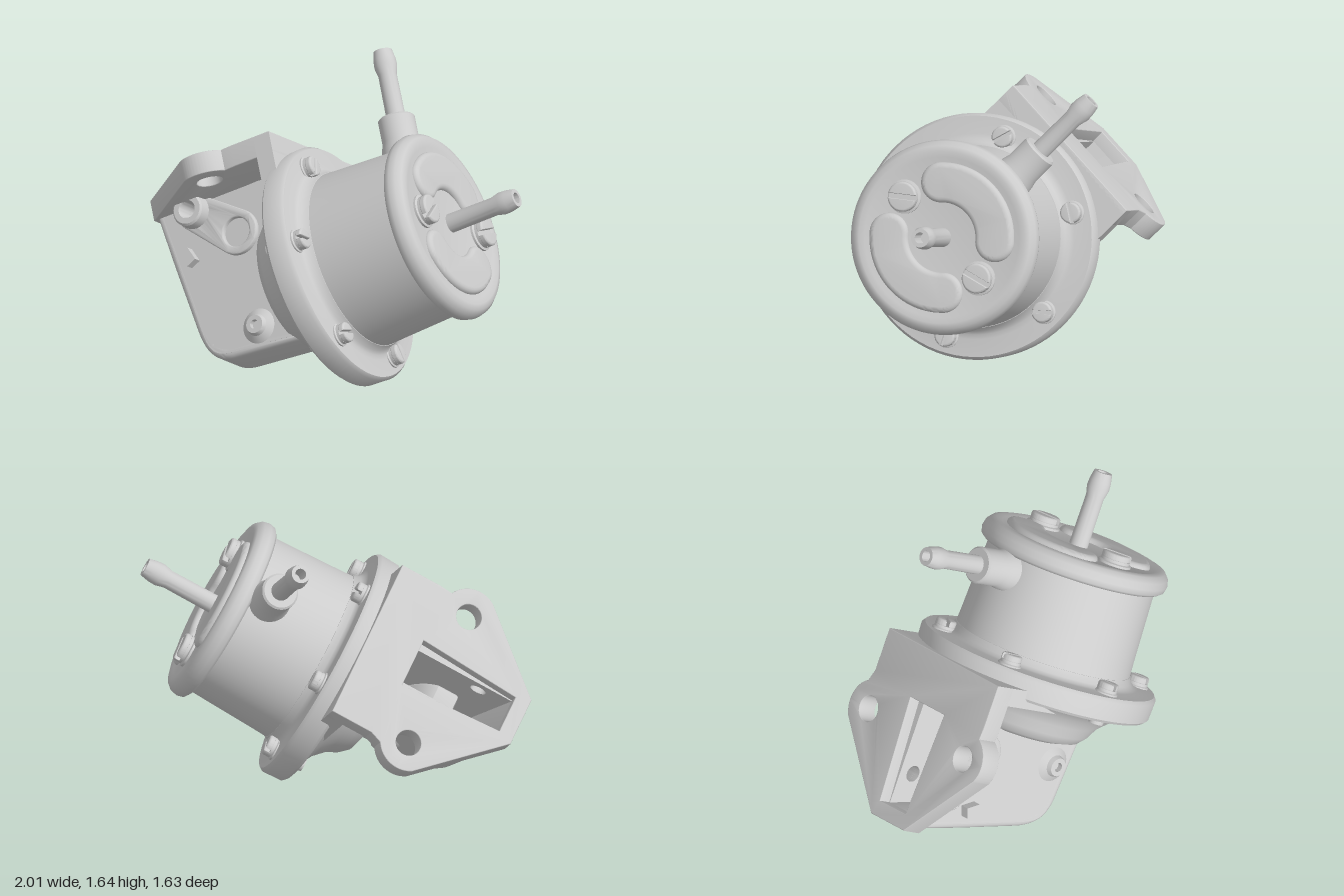
import * as THREE from 'three';
import { toCreasedNormals } from 'three/addons/utils/BufferGeometryUtils.js';

const mat = new THREE.MeshStandardMaterial({ color: 0xcccccc, side: THREE.DoubleSide });
const rad = THREE.MathUtils.degToRad;

export function createModel() {
  const root = new THREE.Group();
  root.name = 'fuelPump';

  // Working frame: y = pump axis, z = towards the mounting face, x = across
  const pump = new THREE.Group();
  pump.name = 'pumpAssembly';
  const axis = new THREE.Vector3(0.85, 0.475, 0.23).normalize();
  const mount = new THREE.Vector3(-0.205, 0.697, -0.687);
  mount.addScaledVector(axis, -mount.dot(axis)).normalize();
  const side = new THREE.Vector3().crossVectors(axis, mount);
  pump.quaternion.setFromRotationMatrix(new THREE.Matrix4().makeBasis(side, axis, mount));
  pump.position.set(0, 0.62, 0.155);
  root.add(pump);

  const add = (name, geo, parent = pump, crease = 0.6) => {
    const mesh = new THREE.Mesh(toCreasedNormals(geo, crease), mat);
    mesh.name = name;
    parent.add(mesh);
    return mesh;
  };
  const lathe = (pts, n = 64) => new THREE.LatheGeometry(pts.map(p => new THREE.Vector2(...p)), n);
  const circle = (x, y, r) => new THREE.Path().absarc(x, y, r, 0, Math.PI * 2, true);
  // Extrude centred on its depth, with the bevel kept inside the stated depth
  const extrude = (shape, depth, bevel = 0) => new THREE.ExtrudeGeometry(shape, {
    depth: depth - 2 * bevel, curveSegments: 20, bevelEnabled: bevel > 0,
    bevelSize: bevel, bevelThickness: bevel, bevelOffset: -bevel, bevelSegments: 4,
  }).translate(0, 0, bevel - depth / 2);
  // Profile drawn in (z, y), extruded across x
  const across = (shape, depth, bevel) => extrude(shape, depth, bevel).rotateY(-Math.PI / 2);

  // Upper flange, drum and cap
  add('diaphragmFlange', lathe([[0, -0.06], [0.64, -0.06], [0.655, -0.045], [0.66, 0.06], [0.645, 0.08],
    [0.55, 0.085], [0.525, 0.09], [0.505, 0.105], [0.49, 0.14], [0.4, 0.15]], 80), pump, 0.7);
  add('drum', lathe([[0.488, 0.13], [0.483, 0.22], [0.465, 0.65]]));
  add('cap', lathe([[0.44, 0.62], [0.495, 0.62], [0.515, 0.635], [0.522, 0.665], [0.514, 0.7], [0.49, 0.728],
    [0.46, 0.737], [0.43, 0.728], [0, 0.728]], 80), pump, 0.8);

  // Kidney-shaped embossings on the cap
  for (const turn of [0, Math.PI]) {
    const a0 = rad(42), a1 = rad(138), R = 0.295, w = 0.108;
    const k = new THREE.Shape();
    k.absarc(0, 0, R + w, a0, a1, false);
    k.absarc(R * Math.cos(a1), R * Math.sin(a1), w, a1, a1 + Math.PI, false);
    k.absarc(0, 0, R - w, a1, a0, true);
    k.absarc(R * Math.cos(a0), R * Math.sin(a0), w, a0 - Math.PI, a0, false);
    const boss = add('capEmbossing', extrude(k, 0.08, 0.03).rotateX(-Math.PI / 2), pump, 1);
    boss.position.y = 0.716;
    boss.rotation.y = turn;
  }

  // Slotted screws: washer, base and two half heads leaving a slot
  const screw = (name, x, y, z, r, turn) => {
    const g = new THREE.Group();
    g.name = name;
    add('base', lathe([[r * 1.15, -0.02], [r * 1.15, 0.005], [r, 0.01], [r, 0.025], [0, 0.025]], 24), g);
    const t = Math.asin(0.16);
    for (const s of [0, Math.PI]) {
      const half = new THREE.Shape().absarc(0, 0, r, t + s, Math.PI - t + s, false);
      add('halfHead', extrude(half, 0.04, 0.012).rotateX(-Math.PI / 2), g).position.y = 0.038;
    }
    g.position.set(x, y, z);
    g.rotation.y = turn;
    pump.add(g);
  };
  for (const s of [1, -1]) screw('capScrew', 0.3 * s, 0.735, 0, 0.08, 0.5 + s * 0.2);
  for (let i = 0; i < 6; i++) {
    const t = i * Math.PI / 3, x = 0.555 * Math.cos(t), z = 0.555 * Math.sin(t);
    screw('flangeScrew', x, 0.085, z, 0.056, i * 1.3);
    add('flangeScrewEnd', new THREE.CylinderGeometry(0.045, 0.04, 0.04, 16)).position.set(x, -0.07, z);
  }

  // Hose nozzles with a beaded, hollow end
  const nozzle = L => [[0.052, 0], [0.05, L - 0.14], [0.062, L - 0.09], [0.06, L - 0.05],
    [0.05, L], [0.03, L], [0.03, L - 0.12], [0, L - 0.12]];
  add('inletNozzle', lathe(nozzle(0.46), 28)).position.y = 0.685;
  const outlet = new THREE.Group();
  outlet.name = 'outlet';
  add('outletBoss', lathe([[0.125, 0.4], [0.11, 0.5], [0.1, 0.54], [0.1, 0.67], [0.09, 0.68], [0, 0.68]], 36), outlet);
  add('outletNozzle', lathe(nozzle(0.43), 28), outlet).position.y = 0.635;
  outlet.position.y = 0.53;
  outlet.rotation.x = Math.PI / 2;
  pump.add(outlet);

  // Lower bowl beneath the flange
  add('lowerBowl', lathe([[0.6, -0.055], [0.54, -0.08], [0.47, -0.12], [0.41, -0.18], [0.38, -0.24],
    [0.34, -0.285], [0.26, -0.31], [0, -0.31]]), pump, 0.8);

  // Web joining the flange to the mounting plate
  add('mountWeb', new THREE.BoxGeometry(0.92, 0.1, 0.63)).position.set(0, -0.05, 0.365);

  // Mounting plate with two bolt ears and a lever window
  const earL = [0.38, -0.445], earR = [-0.412, -0.445], r = 0.157, e0 = rad(-33), e1 = rad(62);
  const plate = new THREE.Shape();
  plate.moveTo(-0.14, -0.945).lineTo(0.135, -0.945);
  plate.absarc(...earL, r, e0, e1, false);
  plate.lineTo(0.46, -0.24).lineTo(0.46, 0).lineTo(-0.46, 0).lineTo(-0.46, -0.24);
  plate.absarc(...earR, r, Math.PI - e1, Math.PI - e0, false);
  plate.closePath();
  const win = new THREE.Path();
  win.moveTo(-0.105, -0.86).lineTo(-0.14, -0.28).lineTo(0.14, -0.28).lineTo(0.105, -0.86).closePath();
  plate.holes.push(win, circle(...earL, 0.07), circle(...earR, 0.07));
  add('mountingPlate', extrude(plate, 0.12, 0.006), pump, 0.3).position.z = 0.63;

  // Lever chamber: curved outer wall, open at the mounting plate, plus two cheeks
  const outline = (shape, o) => {
    shape.moveTo(0.62, -0.93 + o).lineTo(0.29, -0.885 + o).lineTo(-0.1, -0.825 + o);
    shape.bezierCurveTo(-0.23, -0.805 + o, -0.31 + o, -0.76, -0.325 + o, -0.64);
    return shape.lineTo(-0.37 + o, -0.15 - o);
  };
  const wall = outline(new THREE.Shape(), 0);
  wall.lineTo(0.62, -0.15).lineTo(0.62, -0.25).lineTo(-0.27, -0.25).lineTo(-0.25, -0.62);
  wall.bezierCurveTo(-0.24, -0.7, -0.18, -0.735, -0.1, -0.75).lineTo(0.29, -0.81).lineTo(0.62, -0.86).closePath();
  add('chamberWall', across(wall, 0.28, 0.032), pump, 0.8);

  // Pivot lobe shared by both cheeks, pierced by the pivot bore
  const c1 = [0.525, -0.684], c2 = [0.334, -0.46];
  const cheek = outline(new THREE.Shape(), 0.03).lineTo(0.62, -0.15).closePath();
  cheek.holes.push(circle(...c1, 0.045));
  const lobe = new THREE.Shape();
  lobe.absarc(...c2, 0.125, rad(41), rad(221), false);
  lobe.absarc(...c1, 0.1, rad(221), rad(401), false);
  lobe.holes.push(circle(...c2, 0.08), circle(...c1, 0.045));

  for (const s of [1, -1]) {
    add('chamberCheek', across(cheek, 0.04)).position.x = 0.12 * s;
    add('pivotLobe', across(lobe, 0.05, 0.01)).position.x = 0.145 * s;
    const sideways = (name, pts, y, z) => {
      const m = add(name, lathe(pts, 28));
      m.rotation.z = -s * Math.PI / 2;
      m.position.set(0, y, z);
    };
    sideways('pivotBoss', [[0.095, 0.15], [0.09, 0.235], [0.08, 0.245], [0.05, 0.245], [0.045, 0.235], [0.045, 0.1]], c1[1], c1[0]);
    sideways('drainBoss', [[0.12, 0.12], [0.09, 0.145], [0.06, 0.165], [0.05, 0.19], [0.025, 0.19], [0.025, 0.16], [0, 0.16]], -0.45, -0.21);
    const lug = add('castLug', new THREE.BoxGeometry(0.06, 0.06, 0.085));
    lug.position.set(0.16 * s, -0.765, 0.29);
    lug.rotation.x = 0.4;
  }

  // Rocker lever inside the chamber, clear of the pivot bore
  const lever = new THREE.Shape();
  lever.moveTo(0.42, -0.62).quadraticCurveTo(0.2, -0.68, -0.1, -0.5).lineTo(-0.12, -0.38);
  lever.lineTo(0.1, -0.36).quadraticCurveTo(0.35, -0.4, 0.42, -0.5).closePath();
  add('rockerLever', across(lever, 0.12, 0.02));

  return root;
}
